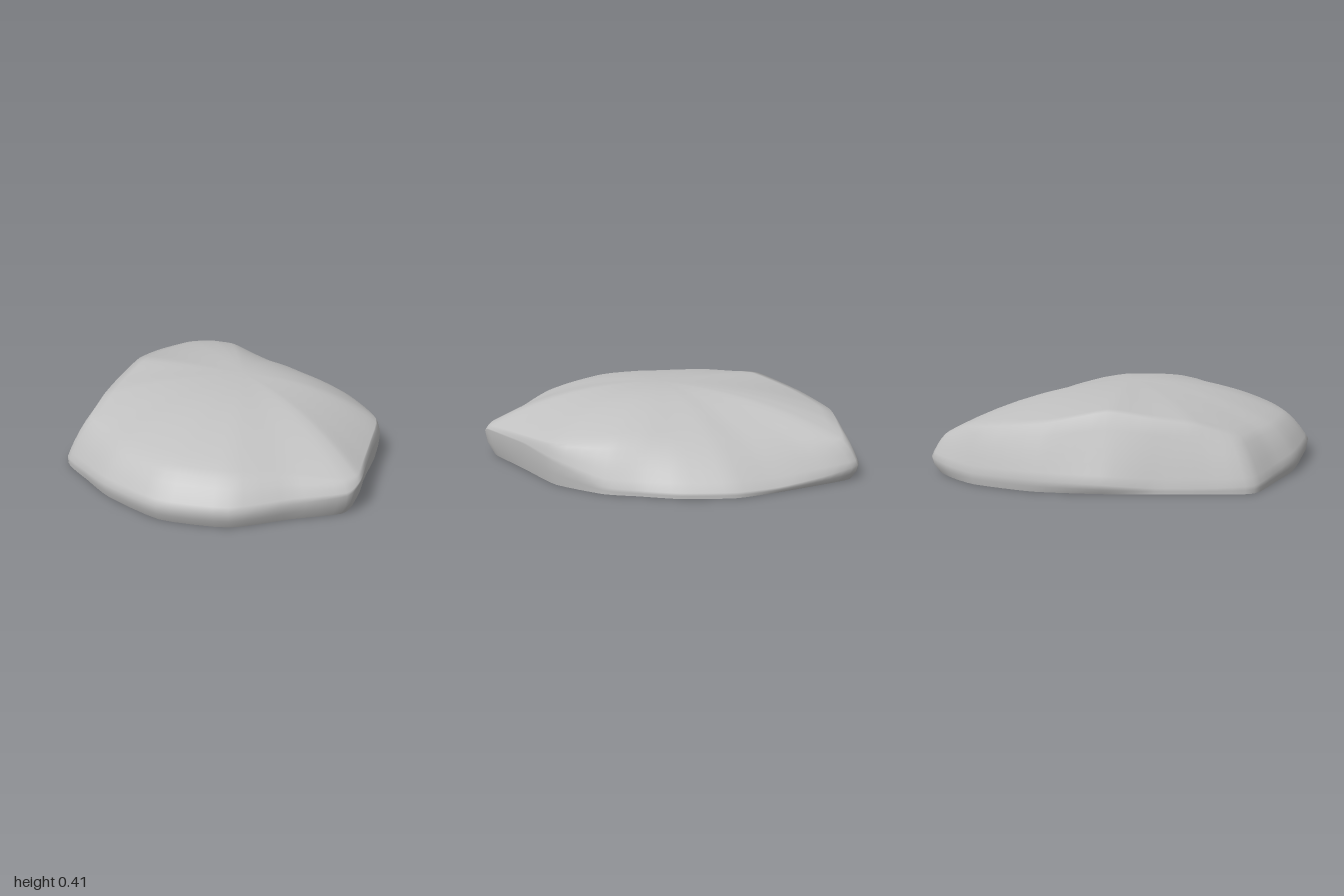
import * as THREE from 'three';

// Stations round the slab:
// [x, z of the widest point, base scale, height of widest point, shoulder scale, shoulder height]
const STATIONS = [
  [-0.56, -1.0, 0.97, 0.08, 0.91, 0.21],
  [-0.35, -0.96, 0.98, 0.05, 0.74, 0.25],
  [-0.1, -0.9, 0.99, 0.03, 0.64, 0.27],
  [0.12, -0.83, 1.0, 0.03, 0.61, 0.285],
  [0.35, -0.68, 1.0, 0.03, 0.65, 0.28],
  [0.5, -0.53, 1.0, 0.03, 0.76, 0.26],
  [0.63, -0.4, 1.0, 0.04, 0.84, 0.24],
  [0.775, -0.15, 0.98, 0.13, 0.96, 0.22],
  [0.805, 0.1, 0.97, 0.16, 0.98, 0.205],
  [0.83, 0.3, 0.96, 0.16, 0.98, 0.195],
  [0.855, 0.47, 0.95, 0.16, 0.97, 0.19],
  [0.82, 0.57, 0.96, 0.12, 0.94, 0.19],
  [0.6, 0.72, 0.97, 0.1, 0.88, 0.22],
  [0.35, 0.92, 0.97, 0.09, 0.85, 0.24],
  [0.0, 1.0, 0.97, 0.09, 0.85, 0.25],
  [-0.35, 0.91, 0.98, 0.08, 0.85, 0.25],
  [-0.55, 0.8, 0.99, 0.06, 0.85, 0.25],
  [-0.75, 0.675, 1.0, 0.04, 0.86, 0.255],
  [-0.79, 0.45, 1.0, 0.03, 0.86, 0.315],
  [-0.82, 0.2, 1.0, 0.03, 0.86, 0.345],
  [-0.86, -0.06, 0.98, 0.05, 0.83, 0.375],
  [-0.85, -0.4, 0.99, 0.06, 0.89, 0.32],
  [-0.77, -0.72, 0.99, 0.06, 0.91, 0.285],
  [-0.67, -0.89, 0.98, 0.07, 0.9, 0.26],
];
const STEPS = 4;     // subdivisions between stations
const PEAK = 0.412;  // height of the crown
const lerp = THREE.MathUtils.lerp;

// Smooth cyclic interpolation of a whole station row
function station(k) {
  const n = STATIONS.length, i = Math.floor(k / STEPS), t = (k % STEPS) / STEPS;
  const [p, a, b, q] = [-1, 0, 1, 2].map((d) => STATIONS[(i + d + n) % n]);
  return a.map((v, j) => {
    const m0 = (b[j] - p[j]) * 0.3, m1 = (q[j] - v) * 0.3;
    const t2 = t * t, t3 = t2 * t;
    return v * (2 * t3 - 3 * t2 + 1) + m0 * (t3 - 2 * t2 + t)
      + b[j] * (3 * t2 - 2 * t3) + m1 * (t3 - t2);
  });
}

// Section from the base edge over the shoulder to the crown, as [scale, height];
// low shoulders are rounded, the high cliff is straight
function section([, , base, wide, shoulder, height]) {
  const pts = [[base, 0], [lerp(base, 1, 0.75), wide * 0.5], [1, wide]];
  const roundness = 4 * (0.38 - height);
  for (const t of [0.12, 0.3, 0.5, 0.75, 1]) {
    pts.push([lerp(1, shoulder, t), lerp(wide, height, t + roundness * t * (1 - t))]);
  }
  for (const t of [0.93, 0.85, 0.75, 0.64, 0.52, 0.4, 0.28, 0.16, 0.06]) {
    pts.push([shoulder * t, lerp(PEAK, height, t ** 2.3)]);
  }
  return pts;
}

function makeGeometry(positions, indices) {
  const g = new THREE.BufferGeometry();
  g.setAttribute('position', new THREE.Float32BufferAttribute(positions, 3));
  g.setIndex(indices);
  g.computeVertexNormals();
  return g;
}

export function createModel() {
  const stone = new THREE.MeshStandardMaterial({ color: 0xc0c0c0 });
  stone.name = 'grey stone';
  const count = STATIONS.length * STEPS;
  const pos = [], idx = [], basePos = [], baseIdx = [];
  let rows = 0;

  // Weathered upper surface, lofted section by section
  for (let k = 0; k < count; k++) {
    const s = station(k), pts = section(s), next = (k + 1) % count;
    rows = pts.length;
    pts.forEach(([r, y], j) => {
      pos.push(s[0] * r, y, s[1] * r);
      if (j === rows - 1) return;
      const a = k * rows + j, b = next * rows + j;
      idx.push(a, a + 1, b, b, a + 1, b + 1);
    });
    basePos.push(s[0] * s[2], 0, s[1] * s[2]);
    baseIdx.push(k, next, count);
  }
  // Close the crown and the flat underside
  pos.push(0, PEAK, 0);
  for (let k = 0; k < count; k++) {
    idx.push(k * rows + rows - 1, count * rows, ((k + 1) % count) * rows + rows - 1);
  }
  basePos.push(0, 0, 0);

  const top = new THREE.Mesh(makeGeometry(pos, idx), stone);
  top.name = 'rockSurface';
  const base = new THREE.Mesh(makeGeometry(basePos, baseIdx), stone);
  base.name = 'flatUnderside';

  const group = new THREE.Group();
  group.name = 'flatRock';
  group.add(top, base);
  return group;
}
